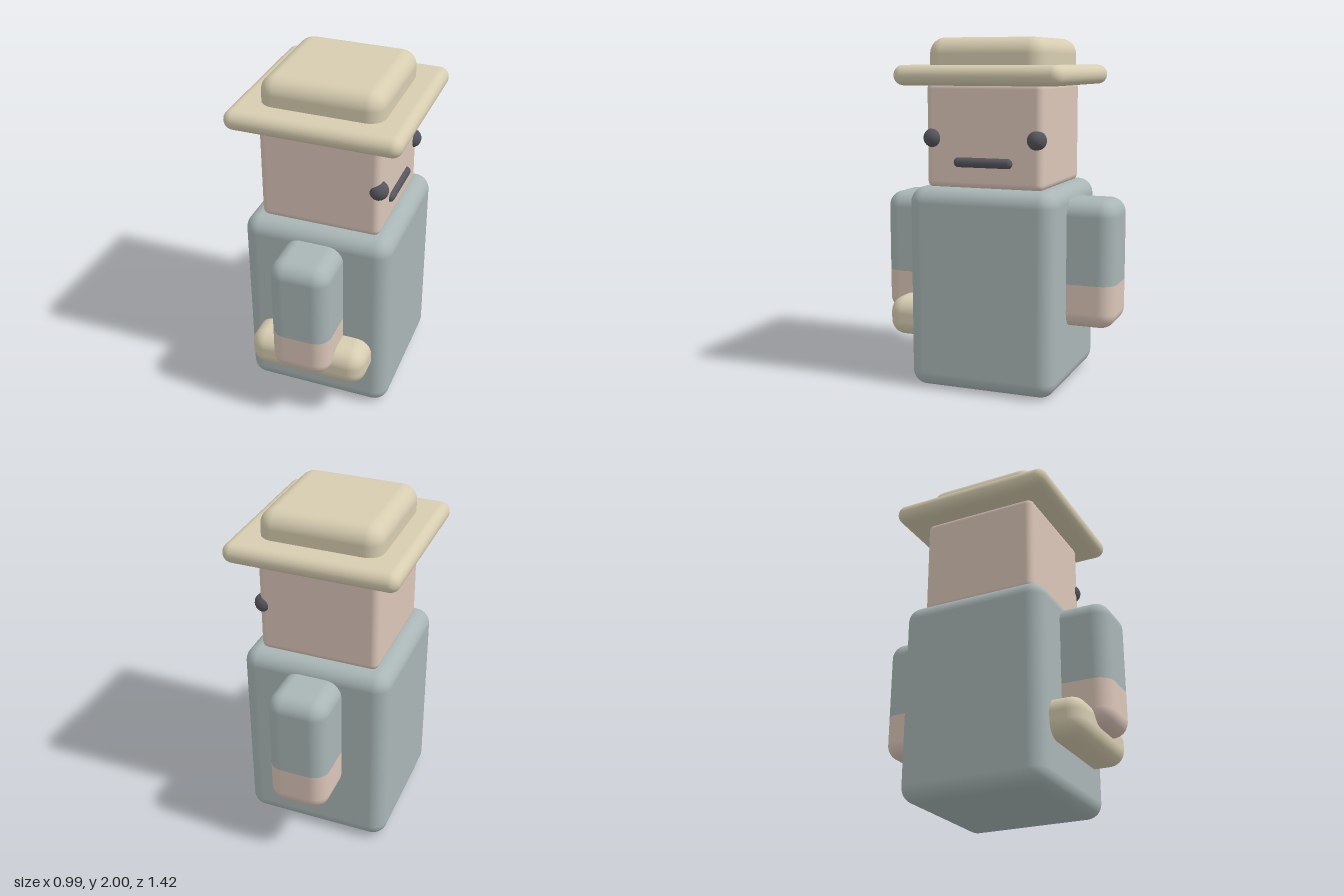
import * as THREE from 'three';
import { RoundedBoxGeometry } from 'three/addons/geometries/RoundedBoxGeometry.js';

const paint = (color) => new THREE.MeshStandardMaterial({ color });

export function createModel() {
  const model = new THREE.Group();
  model.name = 'blockFigure';
  const cloth = paint(0xa9b5b5);
  const straw = paint(0xd6ccb0);
  const skin = paint(0xdac5b8);
  const dark = paint(0x55555c);

  function add(name, geometry, material) {
    const mesh = new THREE.Mesh(geometry, material);
    mesh.name = name;
    model.add(mesh);
    return mesh;
  }

  // Rounded box given by its extents on each axis
  function block([x0, x1], [y0, y1], [z0, z1], radius) {
    return new RoundedBoxGeometry(x1 - x0, y1 - y0, z1 - z0, 5, radius)
      .translate((x0 + x1) / 2, (y0 + y1) / 2, (z0 + z1) / 2);
  }

  // Flatten everything outside a height range to make a straight cut
  function cut(geometry, low, high) {
    const p = geometry.attributes.position;
    for (let i = 0; i < p.count; i++) p.setY(i, THREE.MathUtils.clamp(p.getY(i), low, high));
    return geometry;
  }

  // Body and head
  add('body', block([-0.435, 0.435], [0, 1.165], [-0.435, 0.435], 0.09), cloth);
  add('head', block([-0.348, 0.348], [1.155, 1.755], [-0.348, 0.348], 0.04), skin);

  // Hat
  add('hatBrim', block([-0.493, 0.493], [1.735, 1.848], [-0.493, 0.493], 0.056), straw);
  add('hatCrown', block([-0.348, 0.348], [1.75, 2], [-0.348, 0.348], 0.09), straw);

  // Face, on the +x side
  add('mouth', block([0.317, 0.373], [1.28, 1.336], [-0.175, 0.175], 0.027), dark);
  for (const [side, s] of [['Front', 1], ['Back', -1]]) {
    add('eye' + side, new THREE.SphereGeometry(0.055, 24, 16), dark).position.set(0.33, 1.44, s * 0.31);

    // Arm: sleeve above, bare hand below
    const depth = s > 0 ? [0.3, 0.708] : [-0.708, -0.3];
    const arm = () => block([-0.174, 0.174], [0.36, 1.095], depth, 0.09);
    add('sleeve' + side, cut(arm(), 0.617, 2), cloth);
    add('hand' + side, cut(arm(), 0, 0.617), skin);
  }

  // Roll carried at the hip
  add('hipRoll', block([-0.348, 0.348], [0.26, 0.488], [0.3, 0.617], 0.09), straw);

  return model;
}
